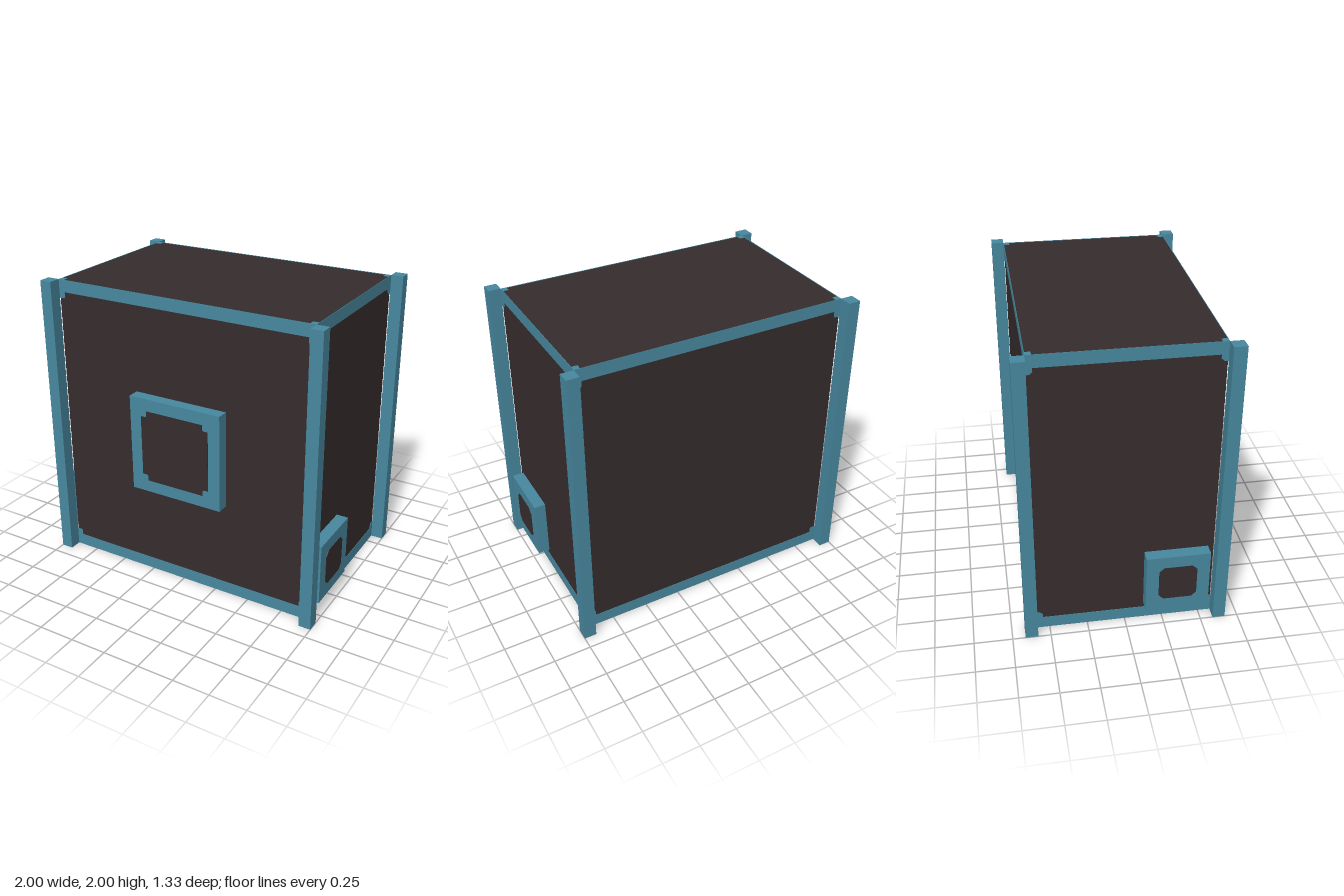
import * as THREE from 'three';

const W = 0.917, D = 0.583, POST = 0.083, EPS = 0.003;

export function createModel() {
  const teal = new THREE.MeshStandardMaterial({ color: 0x47889f });
  teal.name = 'teal trim';
  const dark = new THREE.MeshStandardMaterial({ color: 0x362c2d });
  dark.name = 'dark panel';

  const model = new THREE.Group();
  model.name = 'framedCabinet';

  const box = (parent, name, mat, sx, sy, sz, x, y, z) => {
    const m = new THREE.Mesh(new THREE.BoxGeometry(sx, sy, sz), mat);
    m.name = name;
    m.position.set(x, y, z);
    parent.add(m);
    return m;
  };
  const plate = (parent, name, mat, pts, z) => {
    const shape = new THREE.Shape(pts.map(([x, y]) => new THREE.Vector2(x, y)));
    const geo = new THREE.ExtrudeGeometry(shape, { depth: EPS, bevelEnabled: false });
    const m = new THREE.Mesh(geo, mat);
    m.name = name;
    m.position.z = z;
    parent.add(m);
    return m;
  };

  // Dark body, inset so the trim plates finish flush
  box(model, 'body', dark, 2 * (W - EPS), 2 - 2 * EPS, 2 * (D - EPS), 0, 1, 0);

  // Corner posts and the small trim squares on top and bottom
  for (const sx of [-1, 1]) for (const sz of [-1, 1]) {
    box(model, 'cornerPost', teal, POST, 2, POST, sx * (W + POST / 2), 1, sz * (D + POST / 2));
    for (const y of [EPS / 2, 2 - EPS / 2])
      box(model, 'cornerTrim', teal, 0.04, EPS, 0.04, sx * (W - 0.02), y, sz * (D - 0.02));
  }

  // Top and bottom trim bands with stepped ends, on all four walls
  const band = (w, n, c) => [
    [-w, 1], [-w, 0.917 - n], [-w + n - c, 0.917 - n], [-w + n, 0.917 - n + c], [-w + n, 0.917],
    [w - n, 0.917], [w - n, 0.917 - n + c], [w - n + c, 0.917 - n], [w, 0.917 - n], [w, 1],
  ];
  // Mounted block with a corner-cut dark window on its outer face
  const block = (wall, name, size, win, dist, x, y, corner) => {
    const g = new THREE.Group();
    g.name = name;
    g.position.set(x, y, dist);
    box(g, name + 'Frame', teal, size, size, POST - EPS, 0, 0, (POST - EPS) / 2);
    plate(g, name + 'Window', dark, corner(win / 2), POST - EPS);
    wall.add(g);
  };
  // Square with notched corners
  const notched = (h) => {
    const n = 0.042, c = 0.01, pts = [[h, h - n], [h - n + c, h - n], [h - n, h - n + c], [h - n, h]];
    return turn(pts);
  };
  // Square with chamfered corners
  const chamfered = (h) => turn([[h, h - 0.032], [h - 0.032, h]]);
  // Repeat one corner four times around the centre
  const turn = (pts) => {
    const out = [];
    for (let i = 0, p = pts; i < 4; i++, p = p.map(([x, y]) => [-y, x])) out.push(...p);
    return out;
  };

  ['front', 'left', 'back', 'right'].forEach((side, i) => {
    const wide = i % 2 === 0, dist = wide ? D : W;
    const wall = new THREE.Group();
    wall.name = side + 'Wall';
    wall.position.y = 1;
    wall.rotation.y = i * Math.PI / 2;
    const pts = band(wide ? W : D, 0.042, wide ? 0.008 : 0.018);
    plate(wall, 'topBand', teal, pts, dist - EPS);
    plate(wall, 'bottomBand', teal, pts, dist - EPS).rotation.z = Math.PI;
    if (side === 'front') block(wall, 'frontBlock', 0.667, 0.5, dist, 0, 0, notched);
    if (!wide) block(wall, 'sideBlock', 0.418, 0.25, dist, side === 'left' ? -0.333 : 0.333, -0.665, chamfered);
    model.add(wall);
  });

  return model;
}
